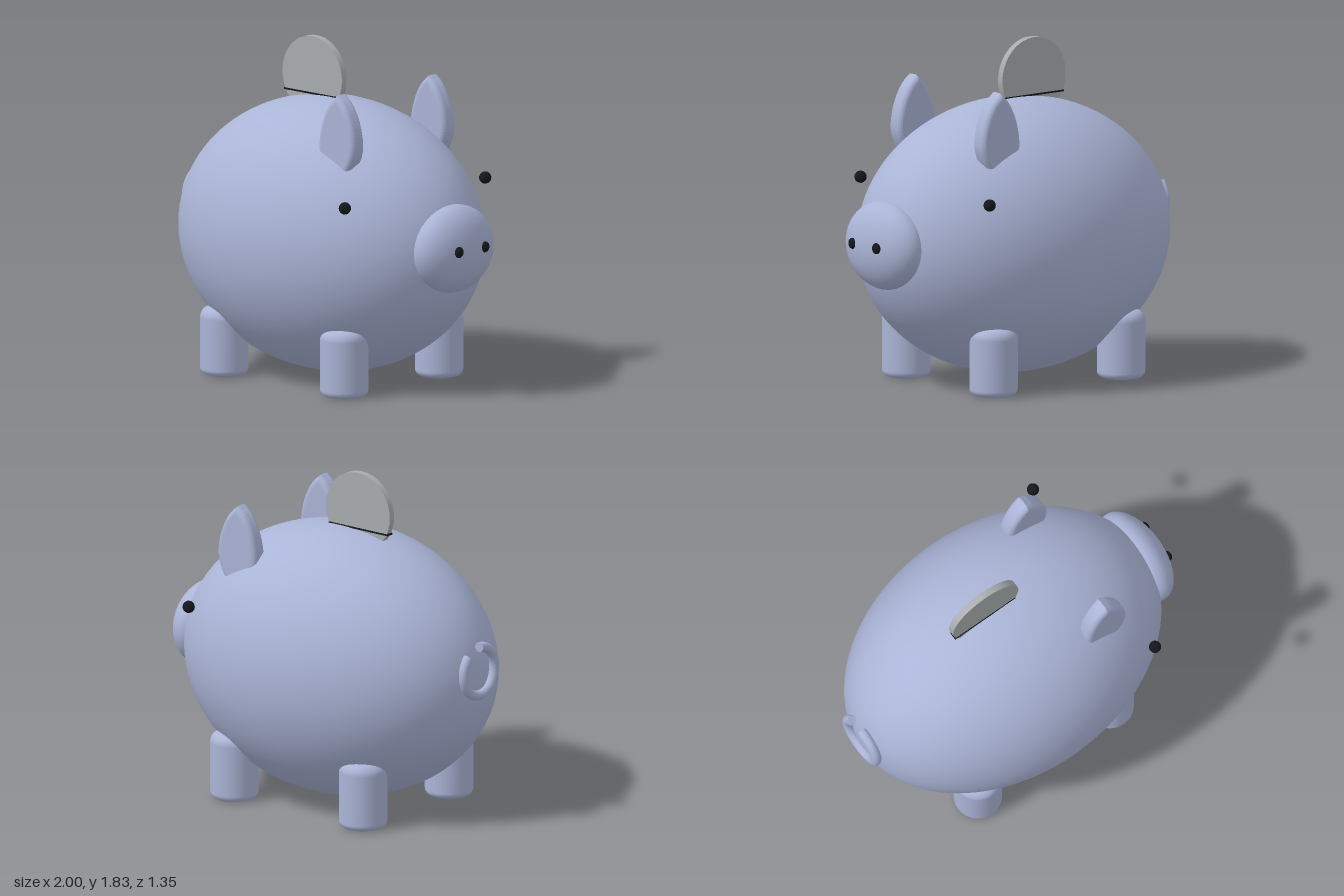
import * as THREE from 'three';

const mat = (name, color) => {
  const m = new THREE.MeshStandardMaterial({ color });
  m.name = name;
  return m;
};

export function createModel() {
  const pig = new THREE.Group();
  pig.name = 'piggyBank';
  const skin = mat('paleBlue', 0xaab4d6);
  const silver = mat('silverGrey', 0xa9adaf);
  const black = mat('black', 0x15171c);

  const add = (name, geometry, material, x, y, z) => {
    const mesh = new THREE.Mesh(geometry, material);
    mesh.name = name;
    mesh.position.set(x, y, z);
    pig.add(mesh);
    return mesh;
  };
  const ellipsoid = (rx, ry, rz, n = 32) => new THREE.SphereGeometry(1, n * 2, n).scale(rx, ry, rz);

  // Body and snout
  add('body', ellipsoid(0.93, 0.743, 0.675, 48), skin, -0.04, 0.778, 0);
  add('snout', ellipsoid(0.15, 0.238, 0.28), skin, 0.84, 0.81, 0);

  // Leg: a cylinder with rounded rims, turned from a profile
  const legPoints = [new THREE.Vector2(0, 0)];
  const rim = (cy, r, from) => {
    for (let i = 0; i <= 8; i++) {
      const a = from + (i / 8) * Math.PI / 2;
      legPoints.push(new THREE.Vector2(0.13 - r + r * Math.cos(a), cy + r * Math.sin(a)));
    }
  };
  rim(0.035, 0.035, -Math.PI / 2);
  rim(0.31, 0.06, 0);
  legPoints.push(new THREE.Vector2(0, 0.37));
  const legGeometry = new THREE.LatheGeometry(legPoints, 40);

  // Ear: a bevelled leaf whose lower end sinks into the body
  const bevel = 0.03;
  const leaf = new THREE.Shape();
  leaf.moveTo(0, 0.235);
  leaf.bezierCurveTo(-0.06, 0.19, -0.1, 0.07, -0.1, -0.02);
  leaf.bezierCurveTo(-0.1, -0.1, -0.04, -0.16, 0, -0.19);
  leaf.bezierCurveTo(0.04, -0.16, 0.1, -0.07, 0.1, 0);
  leaf.bezierCurveTo(0.1, 0.08, 0.06, 0.19, 0, 0.235);
  const earGeometry = new THREE.ExtrudeGeometry(leaf, {
    depth: 0.04, bevelEnabled: true, bevelThickness: bevel, bevelSize: bevel, bevelSegments: 5, curveSegments: 14,
  }).translate(0, 0, -0.02);

  // Mirrored parts
  for (const [side, s] of [['left', -1], ['right', 1]]) {
    add(side + 'FrontLeg', legGeometry, skin, 0.395, 0, 0.375 * s);
    add(side + 'BackLeg', legGeometry, skin, -0.478, 0, 0.375 * s);
    add(side + 'Ear', earGeometry, skin, 0.36, 1.365, 0.36 * s);
    add(side + 'Eye', ellipsoid(0.033, 0.033, 0.033, 12), black, 0.565, 1.075, 0.555 * s);
    add(side + 'Nostril', ellipsoid(0.02, 0.03, 0.028, 12), black, 0.98, 0.823, 0.102 * s);
  }

  // Curled tail: an open ring with capped ends
  const R = 0.133, r = 0.027;
  const tail = new THREE.Group();
  tail.name = 'tail';
  tail.position.set(-0.973, 0.87, 0);
  const curl = new THREE.Mesh(
    new THREE.TorusGeometry(R, r, 16, 64, Math.PI * 1.75).rotateZ(Math.PI / 2).rotateY(Math.PI / 2), skin);
  curl.name = 'tailCurl';
  const startCap = new THREE.Mesh(new THREE.CircleGeometry(r, 16).rotateY(Math.PI), skin);
  startCap.name = 'tailStart';
  startCap.position.set(0, R, 0);
  const endCap = new THREE.Mesh(new THREE.CircleGeometry(r, 16).rotateX(-Math.PI / 4), skin);
  endCap.name = 'tailTip';
  endCap.position.set(0, R * Math.SQRT1_2, -R * Math.SQRT1_2);
  tail.add(curl, startCap, endCap);
  pig.add(tail);

  // Coin standing in its slot
  add('coin', new THREE.CylinderGeometry(0.216, 0.216, 0.038, 64).rotateX(Math.PI / 2), silver, -0.166, 1.617, 0);
  add('coinSlot', new THREE.BoxGeometry(0.4, 0.009, 0.044), black, -0.17, 1.521, 0);

  return pig;
}
